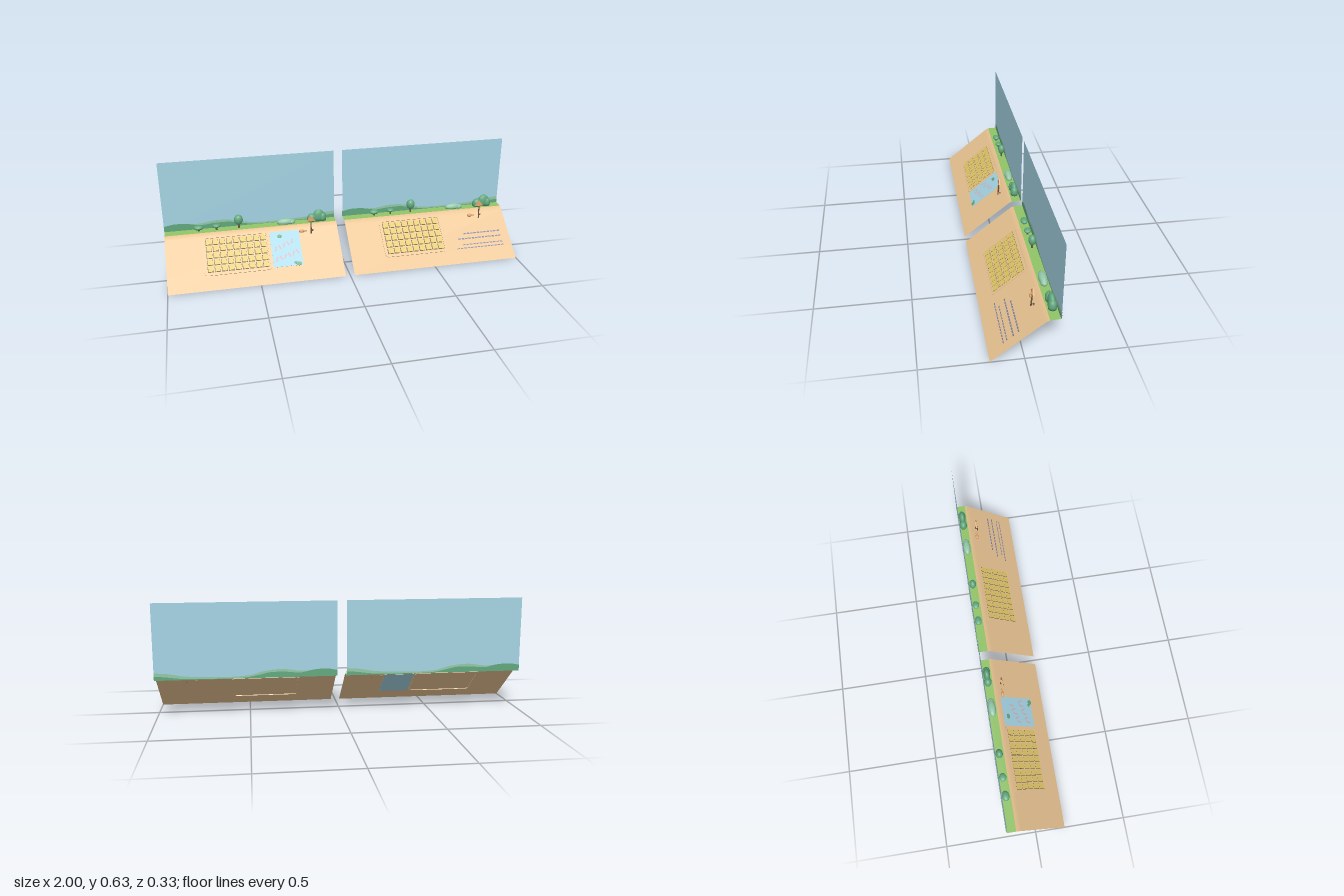
import * as THREE from 'three';

const mat = (name, color, side = THREE.FrontSide) => {
  const m = new THREE.MeshStandardMaterial({ color, side });
  m.name = name;
  return m;
};

export function createModel() {
  const D = THREE.DoubleSide;
  const M = {
    sand: mat('sand', 0xebc593, D), sky: mat('skyBlue', 0xa4d3e3, D), grass: mat('grass', 0x91c468, D),
    leaf: mat('leafGreen', 0x62a87e, D), teal: mat('paleGreen', 0x93c8a8, D), brown: mat('darkBrown', 0x6b543e),
    yellow: mat('tileYellow', 0xdec566), orange: mat('orangeWood', 0xdda46a),
    pink: mat('pink', 0xd9a9ae, D), lavender: mat('lavender', 0x7b7fa6, D),
  };
  const root = new THREE.Group();
  const SLOPE = Math.atan(0.807), COS = Math.cos(SLOPE);
  const W = 0.975, BACK = -0.165;

  const add = (parent, name, geo, material, x = 0, y = 0, z = 0) => {
    const m = new THREE.Mesh(geo, material);
    m.name = name;
    m.position.set(x, y, z);
    parent.add(m);
    return m;
  };

  // Sheet swept across the panel from a (z, y) profile
  const sheet = (profile) => {
    const pos = [], idx = [];
    profile.forEach(([z, y], i) => {
      pos.push(-W / 2, y, z, W / 2, y, z);
      if (i) {
        const a = 2 * (i - 1);
        idx.push(a, a + 2, a + 1, a + 1, a + 2, a + 3);
      }
    });
    const g = new THREE.BufferGeometry();
    g.setAttribute('position', new THREE.Float32BufferAttribute(pos, 3));
    g.setIndex(idx);
    g.computeVertexNormals();
    return g;
  };

  const roundRect = (w, h, r, Kind = THREE.Shape) => {
    const s = new Kind(), x = w / 2, y = h / 2;
    s.moveTo(-x + r, -y);
    s.lineTo(x - r, -y); s.quadraticCurveTo(x, -y, x, -y + r);
    s.lineTo(x, y - r); s.quadraticCurveTo(x, y, x - r, y);
    s.lineTo(-x + r, y); s.quadraticCurveTo(-x, y, -x, y - r);
    s.lineTo(-x, -y + r); s.quadraticCurveTo(-x, -y, -x + r, -y);
    return s;
  };

  // Rounded frame lying flat, centred on its own thickness
  const frame = (w, h, r, t, depth) => {
    const s = roundRect(w, h, r);
    s.holes.push(roundRect(w - 2 * t, h - 2 * t, r - t / 2, THREE.Path));
    return new THREE.ExtrudeGeometry(s, { depth, bevelEnabled: false, curveSegments: 5 })
      .translate(0, 0, -depth / 2).rotateX(-Math.PI / 2);
  };

  const flat = (w, l) => new THREE.PlaneGeometry(w, l).rotateX(-Math.PI / 2);

  // Rounded shrub with a flat foot
  const dome = (w, h, d) => new THREE.LatheGeometry(
    [[0, 0], [0.92, 0], [1, 0.3], [0.92, 0.6], [0.72, 0.83], [0.4, 0.96], [0, 1]]
      .map(([x, y]) => new THREE.Vector2(x, y)), 16).scale(w / 2, h, d / 2);

  const buildPanel = (cx, off, withPool) => {
    const panel = new THREE.Group();
    panel.name = withPool ? 'poolPanel' : 'plainPanel';
    root.add(panel);

    // Ground and backdrop
    add(panel, 'beach', sheet([[-0.112, 0.218], [-0.1, 0.213], [-0.085, 0.2018], [0.165, 0]]), M.sand, cx);
    add(panel, 'lawn', sheet([[BACK, 0.22], [-0.112, 0.218]]), M.grass, cx);
    add(panel, 'sky', new THREE.PlaneGeometry(W, 0.411), M.sky, cx, 0.4255, BACK);

    // Hills painted on both faces: points are distance from the panel's left edge and height
    const hill = (name, pts, material, gap) => {
      const s = new THREE.Shape();
      s.moveTo(pts[0][0], 0);
      s.lineTo(...pts[0]);
      s.splineThru(pts.slice(1).map(p => new THREE.Vector2(...p)));
      s.lineTo(pts[pts.length - 1][0], 0);
      for (const side of [-1, 1])
        add(panel, name, new THREE.ShapeGeometry(s, 24), material, cx - W / 2, 0.22, BACK + side * gap);
    };
    hill('farHills', [[0, 0.03], [0.1, 0.036], [0.2, 0.034], [0.3, 0.046], [0.4, 0.036], [0.48, 0.016], [0.6, 0.01],
      [0.72, 0.014], [0.82, 0.02], [0.9, 0.034], [W, 0.04]], M.teal, 0.0008);
    hill('nearHills', [[0, 0.032], [0.06, 0.042], [0.13, 0.038], [0.2, 0.024], [0.28, 0.03], [0.36, 0.03],
      [0.43, 0.016], [0.52, 0.003], [0.7, 0.003], [0.82, 0.006], [0.92, 0.018], [W, 0.022]], M.leaf, 0.0016);

    // Small trees
    [[-0.81, 0.24, 0.028, 0.014], [-0.71, 0.243, 0.023, 0.011], [-0.585, 0.268, 0.025, 0.03]]
      .forEach(([x, y, r, h]) => {
        const tree = new THREE.Group();
        tree.name = 'tree';
        tree.position.set(x + off, 0, -0.139);
        panel.add(tree);
        add(tree, 'trunk', new THREE.CylinderGeometry(0.004, 0.006, y - 0.217, 8), M.brown, 0, (y + 0.217) / 2);
        add(tree, 'crown', new THREE.SphereGeometry(1, 16, 12).scale(r, h, 0.02), M.leaf, 0, y);
      });

    // Bushes
    [[-0.318, 0.1, 0.03, 'teal'], [-0.285, 0.05, 0.022, 'teal'], [-0.163, 0.055, 0.045, 'leaf'],
      [-0.122, 0.07, 0.068, 'leaf'], [-0.1, 0.045, 0.05, 'leaf']].forEach(([x, w, h, c], i) =>
      add(panel, 'bush', dome(w, h, 0.044 - 0.006 * (i % 2)), M[c], x + off, 0.2195, -0.139));

    // Arrow signpost and pebbles
    const sign = new THREE.Group();
    sign.name = 'signpost';
    sign.position.set(-0.181 + off, 0.178, -0.055);
    sign.rotation.x = -0.08;
    panel.add(sign);
    add(sign, 'post', new THREE.CylinderGeometry(0.003, 0.004, 0.09, 8), M.brown, 0, 0.045, 0);
    const arrow = new THREE.Shape([[-0.026, 0.076], [0.026, 0.076], [0, 0.108]].map(p => new THREE.Vector2(...p)));
    add(sign, 'signBoard', new THREE.ExtrudeGeometry(arrow, { depth: 0.008, bevelEnabled: false }), M.orange, 0, 0, -0.004);
    [[-0.235, 0.016, 'orange'], [-0.212, 0.008, 'orange'], [-0.172, 0.008, 'brown']].forEach(([x, r, c]) =>
      add(panel, 'pebble', new THREE.SphereGeometry(r, 10, 7).scale(1, 0.6, 0.6), M[c], x + off, 0.194, -0.066));

    // Everything lying on the slope: local y is its normal, local z runs downhill
    const ramp = new THREE.Group();
    ramp.name = 'slopeDetails';
    ramp.position.set(off, 0, 0.165);
    ramp.rotation.x = SLOPE;
    panel.add(ramp);
    const down = z => (z - 0.165) / COS;

    // Tray with nine by five tiles
    const mid = down(0.006), tx = -0.612;
    add(ramp, 'trayRim', frame(0.372, 0.236, 0.022, 0.011, 0.008), M.sand, tx, 0, mid);
    for (let r = 0; r < 5; r++) for (let c = 0; c < 9; c++) {
      const x = tx + (c - 4) * 0.038, z = mid + (r - 2) * 0.041;
      add(ramp, 'tileShade', flat(0.032, 0.035), M.brown, x, 0.001, z);
      add(ramp, 'tile', new THREE.BoxGeometry(0.028, 0.005, 0.031), M.yellow, x + 0.001, 0.0035, z - 0.001);
    }

    if (withPool) {
      // Pool with floating leaves and pink ripples
      add(ramp, 'pool', new THREE.BoxGeometry(0.168, 0.003, 0.218), M.sky, -0.336, 0, down(0.005));
      [[-0.365, -0.055, 0.014], [-0.276, 0.083, 0.015], [-0.293, 0.076, 0.009]].forEach(([x, z, r]) =>
        add(ramp, 'floatingLeaf', new THREE.CylinderGeometry(r, r, 0.004, 12).scale(1, 1, 0.75),
          M.leaf, x, 0.003, down(z)));
      for (let i = 0; i < 11; i++) {
        const m = add(ramp, 'ripple', flat(0.007, 0.03), M.pink,
          -0.395 + (i % 6) * 0.024, 0.0025, down(i < 6 ? 0.055 - i * 0.006 : 0.005 - (i - 6) * 0.008));
        m.rotation.y = i % 2 ? 0.5 : -0.3;
      }
    } else {
      // Four rows of plain broken stripes
      [[0.02, 0.72], [0.045, 0.68], [0.075, 0.7], [0.092, 0.66]].forEach(([z, x0], row) => {
        for (let x = x0; x < 0.945; x += 0.021)
          add(ramp, 'stripe', flat(0.016, row < 2 ? 0.008 : 0.006), M.lavender, x + 0.008 - off, 0.0015, down(z));
      });
    }
  };

  buildPanel(-0.5125, 0, true);
  buildPanel(0.5125, 1.022, false);
  return root;
}
